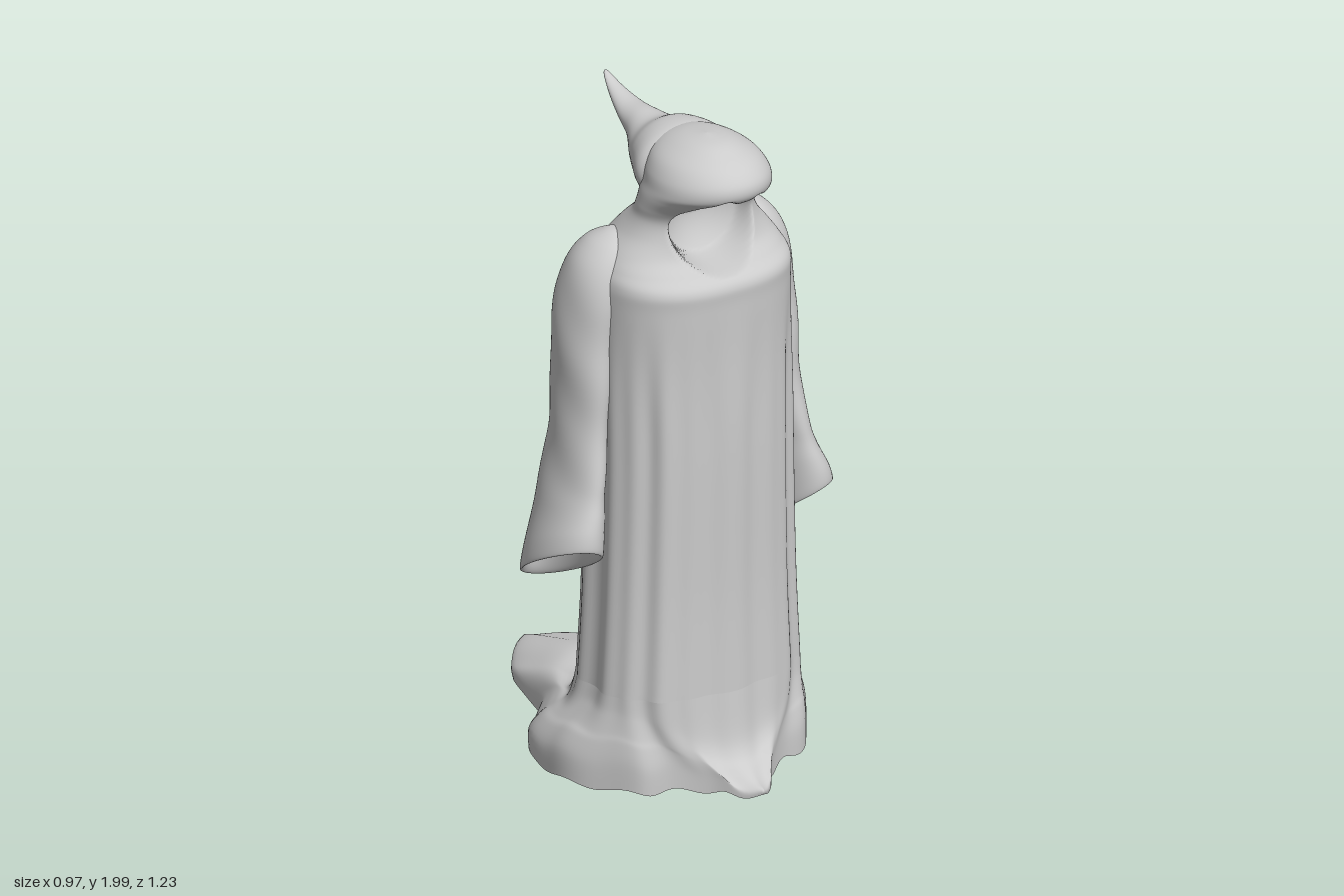
import * as THREE from 'three';

const material = new THREE.MeshStandardMaterial({ color: 0xcccccc });
const { lerp, smoothstep } = THREE.MathUtils;

// Smooth interpolation through a list of key rows, t in 0..1
function sample(keys, t) {
  const last = keys.length - 1;
  const i = Math.min(Math.floor(t * last), last - 1);
  const f = t * last - i;
  const key = k => keys[Math.max(0, Math.min(last, k))];
  return key(i).map((p1, c) => {
    const p0 = key(i - 1)[c], p2 = key(i + 1)[c], p3 = key(i + 2)[c];
    const m1 = (p2 - p0) / 2, m2 = (p3 - p1) / 2;
    return p1 + f * (m1 + f * (3 * (p2 - p1) - 2 * m1 - m2 + f * (2 * (p1 - p2) + m1 + m2)));
  });
}

// Skin of closed rings; point(t, angle) gives a position
function loft(name, rows, cols, point) {
  const positions = [], index = [];
  for (let i = 0; i <= rows; i++) {
    for (let j = 0; j < cols; j++) {
      positions.push(...point(i / rows, (j / cols) * Math.PI * 2));
      if (i === rows) continue;
      const a = i * cols + j, b = i * cols + (j + 1) % cols;
      index.push(a, b, b + cols, a, b + cols, a + cols);
    }
  }
  const geometry = new THREE.BufferGeometry();
  geometry.setAttribute('position', new THREE.Float32BufferAttribute(positions, 3));
  geometry.setIndex(index);
  geometry.computeVertexNormals();
  const mesh = new THREE.Mesh(geometry, material);
  mesh.name = name;
  return mesh;
}

// Robe and hood sections: y, half width, front z, back z, squareness
const robeKeys = [
  [0.30, 0.325, 0.46, -0.03, 2.4], [0.60, 0.31, 0.455, -0.02, 2.4],
  [1.00, 0.30, 0.46, -0.03, 2.4], [1.30, 0.30, 0.46, -0.045, 2.4],
  [1.50, 0.30, 0.465, -0.04, 2.4], [1.57, 0.295, 0.465, -0.02, 2.4],
  [1.61, 0.28, 0.43, 0.0, 2.3], [1.65, 0.255, 0.395, 0.025, 2.2],
  [1.70, 0.215, 0.385, 0.06, 2.1], [1.75, 0.19, 0.385, 0.11, 2],
  [1.79, 0.187, 0.41, 0.13, 2], [1.83, 0.185, 0.47, 0.13, 2],
  [1.86, 0.18, 0.515, 0.13, 2], [1.90, 0.17, 0.52, 0.13, 2],
  [1.94, 0.145, 0.49, 0.14, 2], [1.97, 0.105, 0.44, 0.17, 2],
  [1.99, 0.06, 0.39, 0.23, 2], [2.0, 0, 0.32, 0.32, 2],
];

// Half outline of the hem on the ground, front to back: x, z
const hemOutline = [
  [0, 0.61], [0.06, 0.56], [0.11, 0.49], [0.2, 0.43], [0.29, 0.39], [0.37, 0.28], [0.41, 0.15],
  [0.4, 0.02], [0.31, -0.1], [0.22, -0.2], [0.185, -0.38], [0.11, -0.5], [0, -0.61],
];

// Hem flare: blend to the outline, height at the front, sides and back
const hemKeys = [
  [1, 0.02, 0.02, 0.035], [1, 0.035, 0.1, 0.065], [0.75, 0.05, 0.16, 0.11],
  [0.5, 0.075, 0.19, 0.145], [0.25, 0.11, 0.23, 0.155], [0.1, 0.17, 0.26, 0.215], [0, 0.3, 0.3, 0.3],
];

function robePoint(t, a) {
  const [y, hx, zf, zb, n] = sample(robeKeys, t);
  const s = Math.sin(a), c = Math.cos(a), e = 2 / n;
  // soft vertical folds below the shoulders
  const fold = (0.005 * Math.cos(11 * a + 1.5 * Math.sin(a) ** 2) + 0.004 * Math.cos(18 * a))
    * (1 - smoothstep(y, 1.1, 1.55));
  const x = Math.sign(s) * Math.abs(s) ** e * (hx + fold);
  let z = (zf + zb) / 2 + Math.sign(c) * Math.abs(c) ** e * ((zf - zb) / 2 + fold);
  // face opening with a drooping point in the middle of the brim
  if (c > 0 && y > 1.55) {
    const droop = y > 1.73 ? 0.035 * Math.exp(-((x / 0.035) ** 2)) : 0;
    const q = (x / 0.148) ** 2 + ((y + droop - 1.735) / 0.142) ** 2;
    z = lerp(z, Math.min(z, 0.25 + 0.06 * q), smoothstep(1 - q, 0, 0.35));
  }
  return [x, y, z];
}

function hemPoint(t, a) {
  const [w, yFront, ySide, yBack] = sample(hemKeys, t);
  const c = Math.cos(a), u = a / Math.PI;
  const [hx, hz] = sample(hemOutline, u > 1 ? 2 - u : u);
  const [x, , z] = robePoint(0, a);
  const y = c > 0 ? lerp(ySide, yFront, c ** 5) : lerp(ySide, yBack, -c);
  const bump = 0.012 * w * Math.cos(13 * a) * Math.sin(a) ** 2;
  const rise = 0.007 * w * Math.cos(17 * a + 2 * t);
  return [lerp(x, hx * (u > 1 ? -1 : 1), w) * (1 + bump), y + rise, lerp(z, hz, w) + bump * c];
}

// Tail of the hood: z, top, bottom, half width
const tailKeys = [
  [0.26, 1.97, 1.72, 0.14], [0.2, 1.985, 1.745, 0.16], [0.13, 1.98, 1.77, 0.132],
  [0.07, 1.955, 1.795, 0.1], [0, 1.955, 1.845, 0.062], [-0.07, 1.955, 1.89, 0.045],
  [-0.14, 1.972, 1.935, 0.026], [-0.19, 1.995, 1.98, 0.01], [-0.2, 1.995, 1.995, 0],
];

// Sleeve from inside the cuff, round its lip and up: y, inner x, outer x, front z, back z, tilt, roll
const sleeveKeys = [
  [0.95, 0.35, 0.35, 0.16, 0.16, 0, 0], [0.9, 0.32, 0.4, 0.23, 0.08, 0.3, 0.1],
  [0.77, 0.325, 0.455, 0.3, 0.03, 0.55, 0.3], [0.7, 0.318, 0.472, 0.318, 0.015, 0.57, 0.35],
  [0.69, 0.305, 0.485, 0.33, 0, 0.57, 0.35], [0.75, 0.3, 0.472, 0.327, 0, 0.5, 0.3],
  [0.87, 0.295, 0.435, 0.31, 0.012, 0.25, 0.1], [1.0, 0.285, 0.407, 0.29, 0.03, 0, 0],
  [1.15, 0.265, 0.392, 0.275, 0.04, 0, 0], [1.35, 0.24, 0.387, 0.27, 0.03, 0, 0],
  [1.5, 0.21, 0.373, 0.268, 0.03, 0, 0], [1.6, 0.19, 0.342, 0.26, 0.045, 0, 0],
  [1.66, 0.175, 0.295, 0.235, 0.08, 0, 0], [1.69, 0.19, 0.24, 0.19, 0.13, 0, 0],
  [1.695, 0.21, 0.21, 0.16, 0.16, 0, 0],
];

function sleeve(name, side) {
  return loft(name, 112, 56, (t, a) => {
    const [y, xIn, xOut, zf, zb, tilt, roll] = sample(sleeveKeys, t);
    const crease = 1 + 0.025 * Math.sin(24 * y + 3 * Math.cos(a)) * smoothstep(y, 0.8, 0.95);
    const dx = Math.sin(a) * (xOut - xIn) / 2 * crease;
    const dz = Math.cos(a) * (zf - zb) / 2 * crease;
    return [side * (xIn + xOut) / 2 + dx, y + tilt * dz + side * roll * dx, (zf + zb) / 2 + dz];
  });
}

export function createModel() {
  const model = new THREE.Group();
  model.name = 'hoodedRobe';
  model.add(
    loft('robeAndHood', 136, 160, robePoint),
    loft('flaredHem', 30, 160, hemPoint),
    // flat underside
    loft('hemBase', 1, 160, (t, a) => (t === 0 ? [0, 0.03, 0.1] : hemPoint(0, a))),
    loft('hoodTail', 48, 48, (t, a) => {
      const [z, top, bottom, hx] = sample(tailKeys, t);
      return [Math.sin(a) * hx, (top + bottom) / 2 + Math.cos(a) * (top - bottom) / 2, z];
    }),
    sleeve('leftSleeve', 1),
    sleeve('rightSleeve', -1),
  );
  return model;
}
